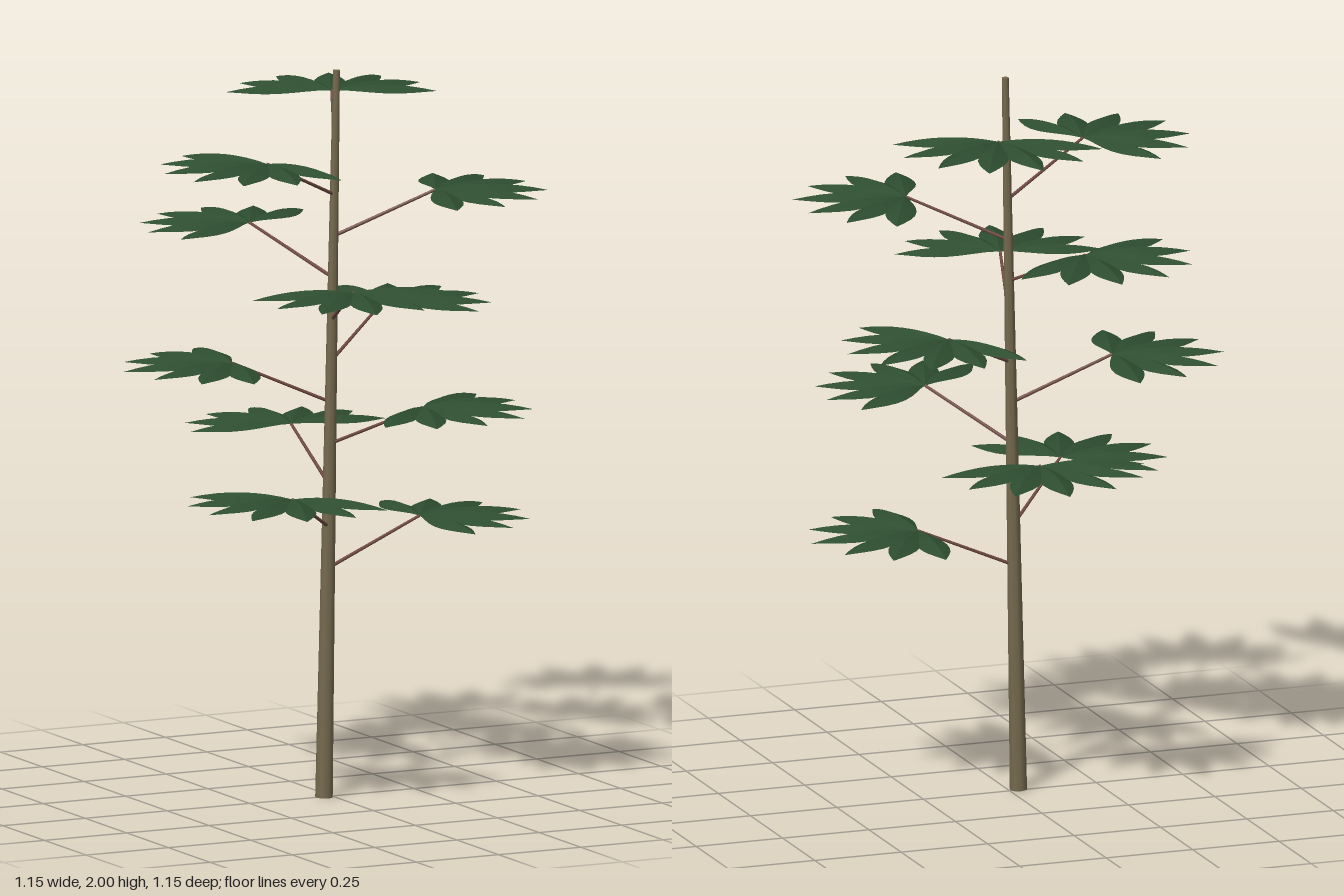
import * as THREE from 'three';

const LEAVES = 11, LEAFLETS = 7, SEGMENTS = 8;
const GOLDEN_ANGLE = THREE.MathUtils.degToRad(137.5);
const trunkBase = new THREE.Vector3(-0.028, 0, 0.008);
const trunkTop = new THREE.Vector3(0.01, 2, 0.008);

// Tapered rod between two points
function rod(a, b, rA, rB, sides, material, name) {
  const dir = b.clone().sub(a);
  const mesh = new THREE.Mesh(new THREE.CylinderGeometry(rB, rA, dir.length(), sides), material);
  mesh.position.copy(a).add(b).multiplyScalar(0.5);
  mesh.quaternion.setFromUnitVectors(new THREE.Vector3(0, 1, 0), dir.normalize());
  mesh.name = name;
  return mesh;
}

// Pointed leaflet along +x, arched lengthwise and folded down from its midrib
function leafletGeometry(length, halfWidth) {
  const positions = [], indices = [];
  for (const side of [1, -1]) {
    const start = positions.length / 3;
    for (let i = 0; i <= SEGMENTS; i++) {
      const t = i / SEGMENTS;
      const w = halfWidth * Math.max(0, Math.sin(Math.PI * Math.pow(t, 1.12)));
      const y = 0.058 * t - 0.066 * t * t;
      positions.push(t * length, y, 0, t * length, y - 0.4 * w, side * w);
      if (i === SEGMENTS) continue;
      const k = start + i * 2;
      if (side > 0) indices.push(k, k + 1, k + 2, k + 2, k + 1, k + 3);
      else indices.push(k, k + 2, k + 1, k + 2, k + 3, k + 1);
    }
  }
  const geometry = new THREE.BufferGeometry();
  geometry.setAttribute('position', new THREE.Float32BufferAttribute(positions, 3));
  geometry.setIndex(indices);
  geometry.computeVertexNormals();
  return geometry;
}

export function createModel() {
  const bark = new THREE.MeshStandardMaterial({ color: 0x766a4f });
  bark.name = 'bark';
  const stalk = new THREE.MeshStandardMaterial({ color: 0x744d45 });
  stalk.name = 'stalk brown';
  const green = new THREE.MeshStandardMaterial({ color: 0x2d4d30, side: THREE.DoubleSide });
  green.name = 'leaf green';

  const model = new THREE.Group();
  model.name = 'tree';
  model.add(rod(trunkBase, trunkTop, 0.025, 0.01, 8, bark, 'trunk'));

  // Leaflets are shared by all leaves and get shorter towards the sides
  const middle = (LEAFLETS - 1) / 2;
  const leaflets = Array.from({ length: LEAFLETS }, (_, j) =>
    leafletGeometry(0.308 - 0.007 * Math.abs(j - middle), 0.042));

  // Leaves spiral up the trunk, each a fan at the end of a rising stalk
  for (let i = 0; i < LEAVES; i++) {
    const angle = i * GOLDEN_ANGLE;
    const height = 0.63 + i * 0.1142;
    const root = trunkBase.clone().lerp(trunkTop, height / 2);
    const hub = root.clone().add(
      new THREE.Vector3(0.278 * Math.cos(angle), 0.122, 0.278 * Math.sin(angle)));
    model.add(rod(root, hub, 0.005, 0.004, 6, stalk, 'leafStalk'));

    const leaf = new THREE.Group();
    leaf.name = 'fanLeaf';
    leaf.position.copy(hub);
    leaf.rotation.y = -angle;
    leaflets.forEach((geometry, j) => {
      const leaflet = new THREE.Mesh(geometry, green);
      leaflet.name = 'leaflet';
      leaflet.rotation.y = -(j - middle) * THREE.MathUtils.degToRad(28.3);
      leaf.add(leaflet);
    });
    model.add(leaf);
  }
  return model;
}
